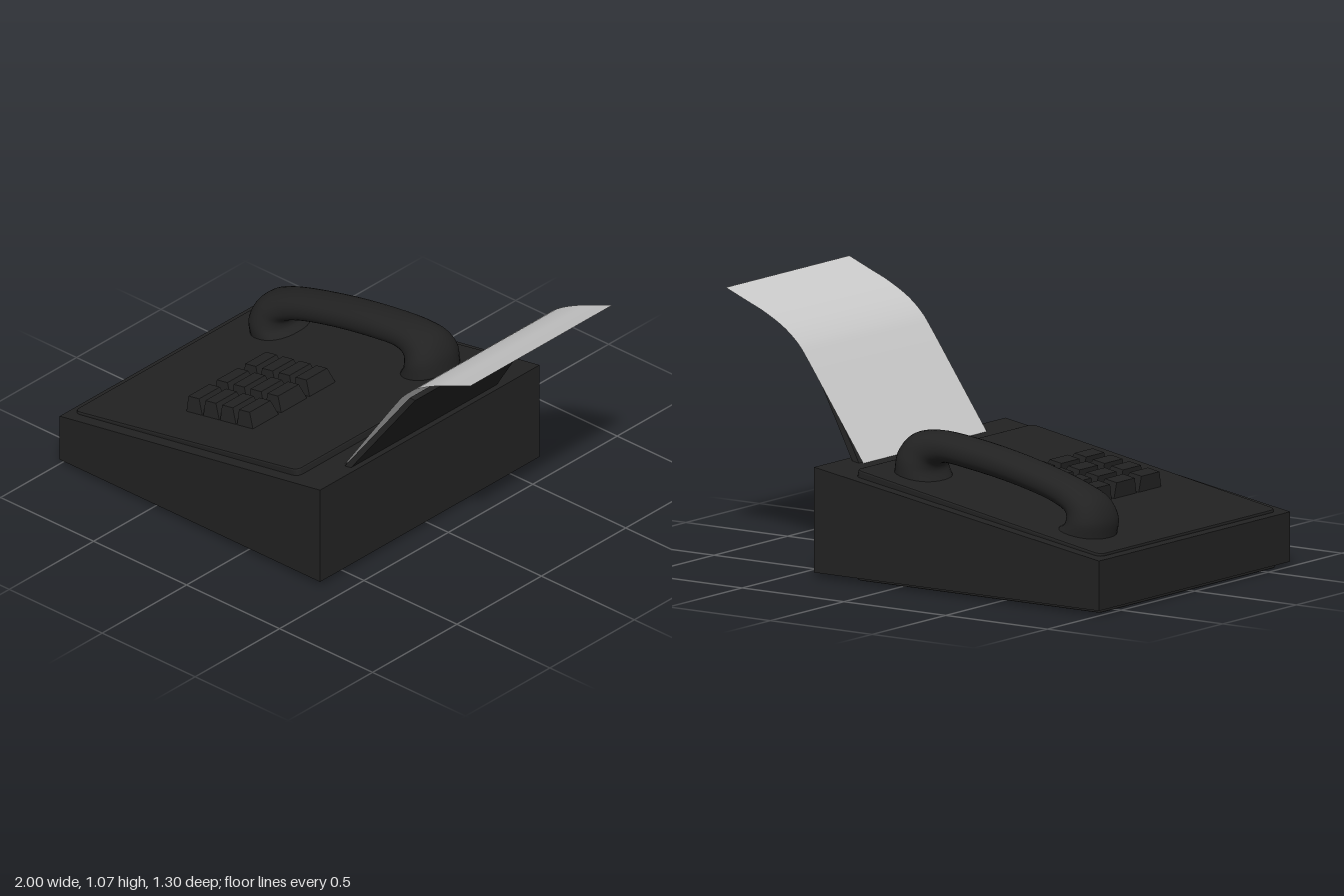
import * as THREE from 'three';

const dark = new THREE.MeshStandardMaterial({ color: 0x222222 });
const paperMat = new THREE.MeshStandardMaterial({ color: 0xcccccc, side: THREE.DoubleSide });

function add(parent, name, geometry, material = dark) {
  const mesh = new THREE.Mesh(geometry, material);
  mesh.name = name;
  parent.add(mesh);
  return mesh;
}

// Move every vertex by a rule, then refresh the normals
function reshape(geometry, rule) {
  const p = geometry.attributes.position;
  const v = new THREE.Vector3();
  for (let i = 0; i < p.count; i++) {
    rule(v.fromBufferAttribute(p, i));
    p.setXYZ(i, v.x, v.y, v.z);
  }
  geometry.computeVertexNormals();
  return geometry;
}

// Flat slab with rounded corners and a bevelled rim, top face at y = 0
function slab(w, d, thickness, radius, bevel) {
  const x = w / 2 - bevel, z = d / 2 - bevel, r = radius;
  const s = new THREE.Shape();
  s.moveTo(-x + r, -z);
  s.lineTo(x - r, -z).quadraticCurveTo(x, -z, x, -z + r);
  s.lineTo(x, z - r).quadraticCurveTo(x, z, x - r, z);
  s.lineTo(-x + r, z).quadraticCurveTo(-x, z, -x, z - r);
  s.lineTo(-x, -z + r).quadraticCurveTo(-x, -z, -x + r, -z);
  const g = new THREE.ExtrudeGeometry(s, {
    depth: thickness - 2 * bevel, bevelThickness: bevel, bevelSize: bevel, bevelSegments: 2, curveSegments: 5,
  });
  return g.rotateX(-Math.PI / 2).translate(0, bevel - thickness, 0);
}

// Handset: oval sections lofted between an outer and an inner arch
function handsetGeometry() {
  // outer x, outer y, inner x, inner y, half width
  const stations = [
    [-0.855, 0.25, -0.62, 0.28, 0.13],
    [-0.86, 0.33, -0.68, 0.315, 0.125],
    [-0.82, 0.41, -0.68, 0.345, 0.108],
    [-0.72, 0.465, -0.62, 0.375, 0.09],
    [-0.45, 0.54, -0.43, 0.425, 0.084],
    [-0.2, 0.585, -0.19, 0.465, 0.084],
    [0, 0.6, -0.07, 0.477, 0.09],
    [0.09, 0.58, -0.03, 0.465, 0.105],
    [0.14, 0.52, -0.022, 0.44, 0.125],
    [0.16, 0.43, -0.05, 0.39, 0.132],
  ];
  const outer = new THREE.CatmullRomCurve3(stations.map((s) => new THREE.Vector3(s[0], s[1], s[4])));
  const inner = new THREE.CatmullRomCurve3(stations.map((s) => new THREE.Vector3(s[2], s[3], 0)));
  const rings = 54, sides = 28, pos = [], index = [];
  for (let i = 0; i <= rings; i++) {
    const o = outer.getPoint(i / rings), n = inner.getPoint(i / rings);
    for (let j = 0; j < sides; j++) {
      const a = (j / sides) * Math.PI * 2, c = Math.cos(a), s = Math.sin(a);
      const k = Math.sign(c) * Math.abs(c) ** 0.9;
      pos.push((o.x + n.x + (o.x - n.x) * k) / 2, (o.y + n.y + (o.y - n.y) * k) / 2,
        o.z * Math.sign(s) * Math.abs(s) ** 0.9);
      if (i < rings) {
        const p = i * sides + j, q = i * sides + ((j + 1) % sides);
        index.push(p, q, p + sides, q, q + sides, p + sides);
      }
    }
  }
  // End caps
  const last = rings * sides;
  for (let j = 1; j < sides - 1; j++) {
    index.push(0, j + 1, j, last, last + j, last + j + 1);
  }
  const g = new THREE.BufferGeometry();
  g.setAttribute('position', new THREE.Float32BufferAttribute(pos, 3));
  g.setIndex(index);
  g.computeVertexNormals();
  return g;
}

export function createModel() {
  const model = new THREE.Group();
  model.name = 'faxTelephone';

  // Wedge-shaped housing
  const side = new THREE.Shape([[-1, 0.02], [0.4, 0.02], [0.4, 0.447], [-1, 0.222]].map((p) => new THREE.Vector2(...p)));
  add(model, 'housing', new THREE.ExtrudeGeometry(side, { depth: 1.3, bevelEnabled: false }).translate(0, 0, -0.65));

  // Foot under the housing
  add(model, 'foot', slab(1.2, 1.2, 0.04, 0.02, 0.005)).position.set(-0.37, 0.04, 0);

  // Sloping control panel with its keypad
  const panel = new THREE.Group();
  panel.name = 'controlPanel';
  panel.position.set(-0.37, 0.345, 0);
  panel.rotation.z = 0.174;
  model.add(panel);
  add(panel, 'panelPlate', slab(1.22, 1.2, 0.045, 0.025, 0.008));

  const keypad = new THREE.Group();
  keypad.name = 'keypad';
  panel.add(keypad);
  for (let col = 0; col < 4; col++) {
    for (let row = 0; row < 3; row++) {
      // Tapered key, with the top face set towards one side
      const g = reshape(new THREE.BoxGeometry(0.092, 0.075, 0.158), (v) => {
        if (v.y > 0) {
          v.x = v.x < 0 ? -0.036 : 0.022;
          v.z *= 0.78;
        }
      });
      add(keypad, 'key', g).position.set(-0.139 + col * 0.092, 0.025, -0.018 + row * 0.168);
    }
  }

  // Handset across the rear of the panel
  add(model, 'handset', handsetGeometry()).position.z = -0.38;

  // Leaning paper support, narrower at the top
  add(model, 'paperSupport', reshape(new THREE.BoxGeometry(0.03, 0.42, 0.88), (v) => {
    v.x += v.y * 0.7;
    if (v.y > 0) v.z *= 0.35 / 0.44;
  })).position.set(0.477, 0.617, 0);

  // Curling sheet of paper
  const curl = new THREE.CatmullRomCurve3([
    [0.3, 0.4], [0.4, 0.543], [0.5, 0.686], [0.6, 0.828], [0.64, 0.88], [0.71, 0.94], [0.81, 0.995], [0.9, 1.032], [1, 1.073],
  ].map(([x, y]) => new THREE.Vector3(x, y, 0)), false, 'centripetal');
  add(model, 'paper', reshape(new THREE.PlaneGeometry(1, 0.84, 40, 1).rotateX(-Math.PI / 2), (v) => {
    const p = curl.getPointAt(THREE.MathUtils.clamp(v.x + 0.5, 0, 1));
    v.set(p.x, p.y, v.z);
  }), paperMat);

  return model;
}
